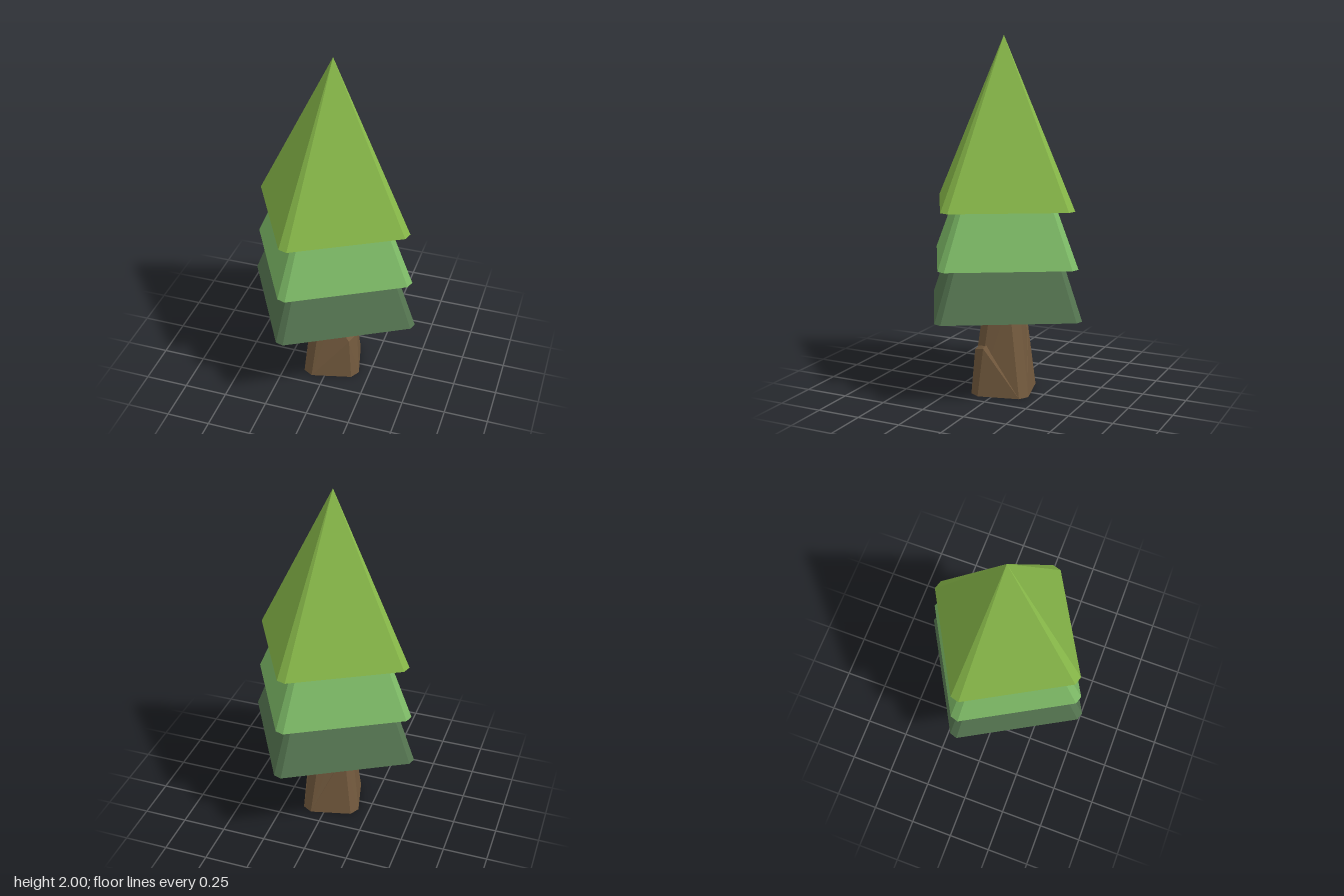
import * as THREE from 'three';
import { ConvexGeometry } from 'three/addons/geometries/ConvexGeometry.js';

const paint = (name, color, extra = {}) => {
  const m = new THREE.MeshStandardMaterial({ color, ...extra });
  m.name = name;
  return m;
};

// Eight-sided ring: a square with cut corners, from one corner's two points (x, z)
// turned four times, listed anticlockwise as seen from above.
function ring(y, a, b) {
  const pts = [];
  let p = a, q = b;
  for (let i = 0; i < 4; i++) {
    pts.push(new THREE.Vector3(p[0], y, p[1]), new THREE.Vector3(q[0], y, q[1]));
    p = [p[1], -p[0]];
    q = [q[1], -q[0]];
  }
  return pts;
}

function facets(triangles) {
  const g = new THREE.BufferGeometry().setFromPoints(triangles);
  g.computeVertexNormals();
  return g;
}

// Hollow pyramid shell, open underneath
function tierGeometry(y, apexY, a, b) {
  const base = ring(y, a, b), apex = new THREE.Vector3(0, apexY, 0), tris = [];
  base.forEach((p, i) => tris.push(p, base[(i + 1) % 8], apex));
  return facets(tris);
}

// Closed tapering trunk
function trunkGeometry(lower, upper, top) {
  const tris = [], low = new THREE.Vector3(), high = new THREE.Vector3(0, top, 0);
  lower.forEach((p, i) => {
    const j = (i + 1) % 8;
    tris.push(p, lower[j], upper[j], p, upper[j], upper[i]);
    tris.push(lower[j], p, low, upper[i], upper[j], high);
  });
  return facets(tris);
}

// Slab of bark wrapped round a corner, with a ledge on top and a tip at each side
function barkGeometry(crest) {
  const foot = [[-0.075, 0, 0.187], [0.155, 0, 0.13], [0.187, 0, 0.075], [0.13, 0, -0.155]];
  return new ConvexGeometry([...foot, ...crest].map(p => new THREE.Vector3(...p)));
}

export function createModel() {
  const tree = new THREE.Group();
  tree.name = 'pineTree';
  const add = (name, geometry, material) => {
    const mesh = new THREE.Mesh(geometry, material);
    mesh.name = name;
    tree.add(mesh);
    return mesh;
  };
  const side = { side: THREE.DoubleSide };
  const bark = paint('bark brown', 0x72593d);

  // Trunk
  add('trunk', trunkGeometry(
    ring(0, [-0.13, 0.155], [-0.075, 0.187]),
    ring(0.55, [-0.085, 0.072], [-0.025, 0.104]), 0.55), bark);

  // Bark slabs on two opposite corners
  add('lowBarkSlab', barkGeometry([
    [0.135, 0.255, 0.115], [0.165, 0.275, 0.05],
    [0.105, 0.28, 0.10], [0.14, 0.29, 0.04]]), bark);
  add('highBarkSlab', barkGeometry([
    [0.105, 0.40, 0.098], [0.133, 0.41, 0.04],
    [0.085, 0.425, 0.08], [0.112, 0.425, 0.035]]), bark).rotation.y = Math.PI;

  // Foliage tiers
  add('lowerFoliage', tierGeometry(0.49, 1.77, [-0.167, 0.508], [-0.123, 0.522]),
    paint('dark green', 0x547450, side));
  add('middleFoliage', tierGeometry(0.77, 1.86, [-0.161, 0.479], [-0.114, 0.494]),
    paint('mid green', 0x7dba66, side));
  add('upperFoliage', tierGeometry(1.08, 2, [-0.155, 0.453], [-0.105, 0.468]),
    paint('light green', 0x86b648, side));

  return tree;
}
